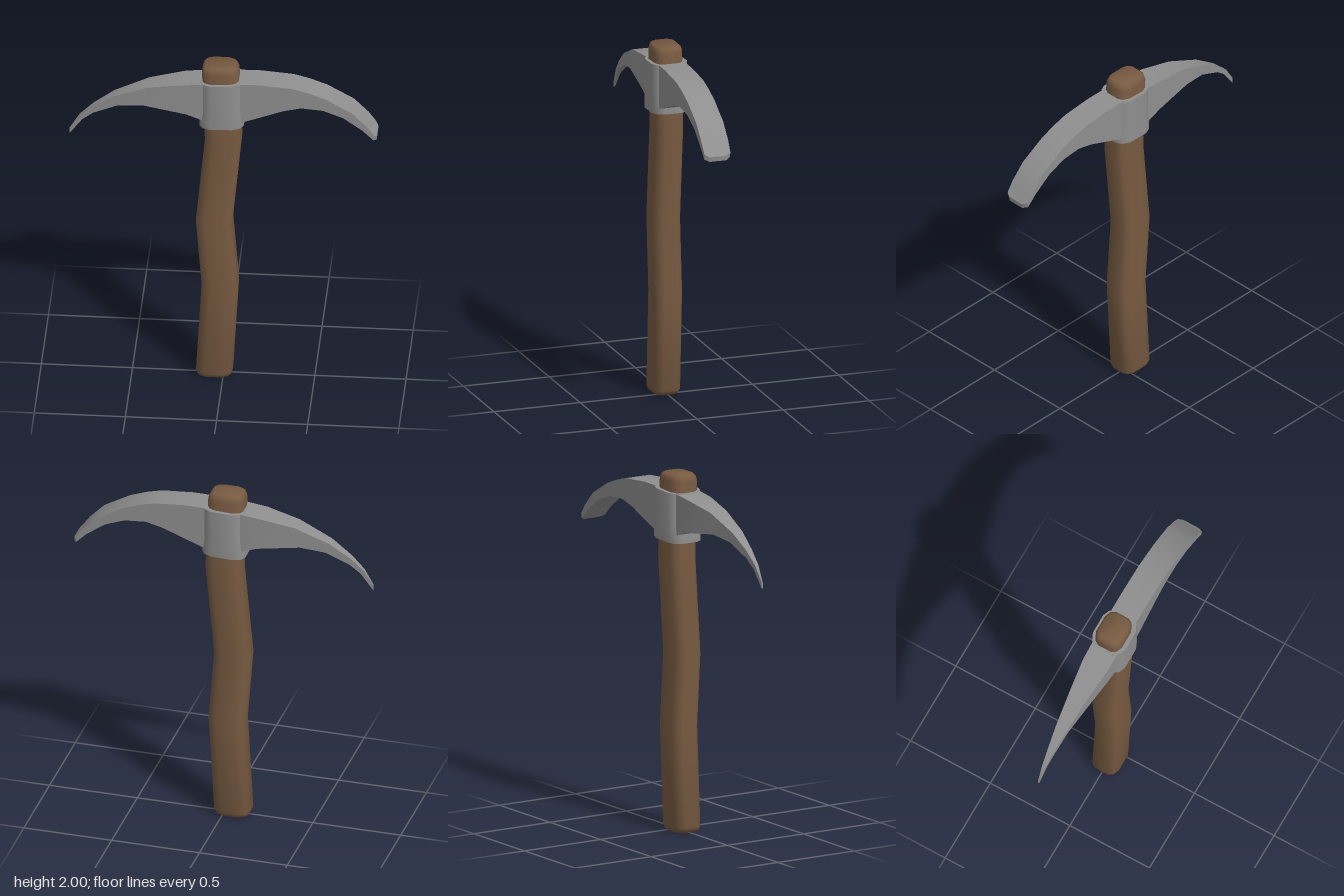
import * as THREE from 'three';
import { toCreasedNormals } from 'three/addons/utils/BufferGeometryUtils.js';

const wood = new THREE.MeshStandardMaterial({ color: 0x775a41 });
wood.name = 'brown wood';
const steel = new THREE.MeshStandardMaterial({ color: 0x8f8f8f });
steel.name = 'grey steel';

// Skins a row of cross-sections and closes both ends.
function loft(rings, crease) {
  const pos = [];
  const tri = (a, b, c) => pos.push(...a, ...b, ...c);
  const n = rings[0].length;
  for (let i = 0; i < rings.length - 1; i++) {
    for (let j = 0; j < n; j++) {
      const k = (j + 1) % n;
      const a = rings[i][j], b = rings[i][k], c = rings[i + 1][k], d = rings[i + 1][j];
      tri(a, d, c);
      tri(a, c, b);
    }
  }
  const first = rings[0], last = rings[rings.length - 1];
  for (let j = 1; j < n - 1; j++) {
    tri(first[0], first[j], first[j + 1]);
    tri(last[0], last[j + 1], last[j]);
  }
  const geo = new THREE.BufferGeometry();
  geo.setAttribute('position', new THREE.Float32BufferAttribute(pos, 3));
  return toCreasedNormals(geo, crease);
}

// Rounded oblong, as fractions of half width and half depth.
const quarter = [[1, 0.5], [0.85, 0.82], [0.5, 1]];
const oblong = [
  ...quarter,
  ...quarter.map(([x, z]) => [-x, z]).reverse(),
  ...quarter.map(([x, z]) => [-x, -z]),
  ...quarter.map(([x, z]) => [x, -z]).reverse(),
];
const section = (cx, y, w, d, tilt = 0) =>
  oblong.map(([x, z]) => [cx + x * w, y + x * w * tilt, z * d]);

function addMesh(group, name, geo, material) {
  const mesh = new THREE.Mesh(geo, material);
  mesh.name = name;
  group.add(mesh);
}

export function createModel() {
  const model = new THREE.Group();
  model.name = 'pickaxe';

  // Crooked handle: centre x, height, scale of section
  const handle = [
    [-0.05, 0, 0.78], [-0.05, 0.01, 0.92], [-0.049, 0.03, 1],
    [-0.018, 0.59, 1], [-0.05, 1.0, 1], [0, 1.53, 1],
    [-0.016, 1.965, 1], [-0.017, 1.988, 0.93], [-0.017, 2, 0.8],
  ].map(([x, y, s]) => section(x, y, 0.1 * s, 0.08 * s));
  addMesh(model, 'handle', loft(handle, 1.1), wood);

  // Socket around the handle
  const socket = [
    [-0.007, 1.63, 0.122], [-0.007, 1.68, 0.122], [-0.007, 1.72, 0.115], [-0.007, 1.909, 0.115],
  ].map(([x, y, w]) => section(x, y, w, 0.102, 0.04));
  addMesh(model, 'socket', loft(socket, 0.75), steel);

  // Curved head: top x, top y, bottom x, bottom y, half depth
  const head = [
    [-0.845, 1.54, -0.845, 1.508, 0.004],
    [-0.79, 1.628, -0.775, 1.605, 0.011],
    [-0.715, 1.698, -0.715, 1.655, 0.019],
    [-0.6, 1.776, -0.58, 1.718, 0.033],
    [-0.41, 1.855, -0.44, 1.738, 0.053],
    [-0.22, 1.892, -0.2, 1.705, 0.075],
    [-0.11, 1.904, -0.11, 1.672, 0.077],
    [0.11, 1.914, 0.11, 1.67, 0.077],
    [0.2, 1.915, 0.19, 1.7, 0.077],
    [0.38, 1.9, 0.33, 1.753, 0.077],
    [0.47, 1.876, 0.43, 1.777, 0.077],
    [0.565, 1.84, 0.55, 1.767, 0.077],
    [0.71, 1.757, 0.66, 1.725, 0.077],
    [0.79, 1.675, 0.765, 1.65, 0.077],
    [0.832, 1.617, 0.826, 1.589, 0.075],
    [0.845, 1.605, 0.843, 1.578, 0.048],
  ].map(([tx, ty, bx, by, d]) => [[tx, ty, d], [tx, ty, -d], [bx, by, -d], [bx, by, d]]);
  addMesh(model, 'head', loft(head, 0.6), steel);

  return model;
}
